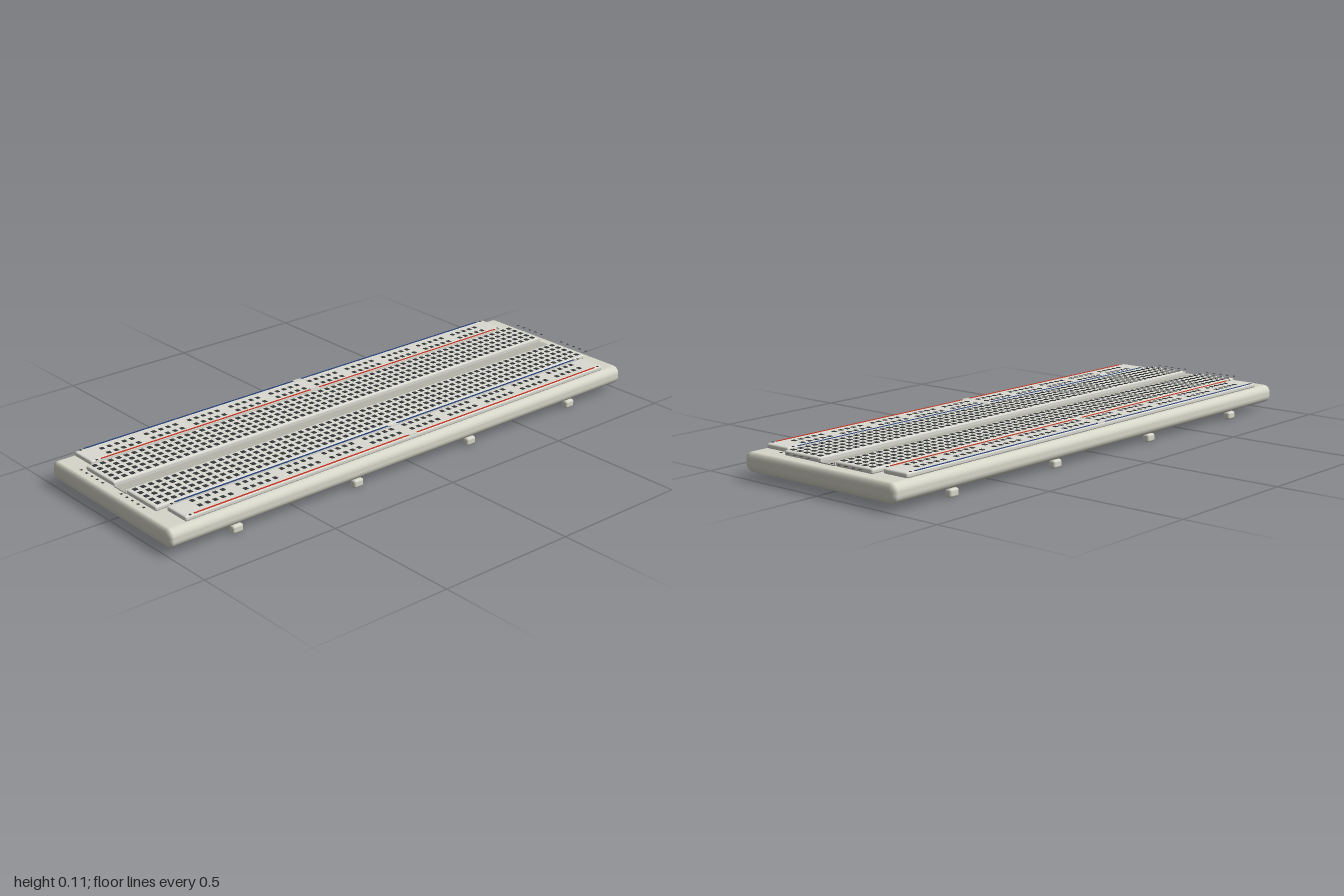
import * as THREE from 'three';
import { mergeGeometries } from 'three/addons/utils/BufferGeometryUtils.js';
import { RoundedBoxGeometry } from 'three/addons/geometries/RoundedBoxGeometry.js';

const mat = (color) => new THREE.MeshStandardMaterial({ color });
const materials = {
  body: mat(0xd6d6c9),
  strip: mat(0xdadad2),
  channel: mat(0xb4b4aa),
  hole: mat(0x34383a),
  red: mat(0xc8321e),
  blue: mat(0x26407a),
  mark: mat(0x3a3a3a),
};

export function createModel() {
  const model = new THREE.Group();

  const add = (name, geometry, material, x = 0, y = 0, z = 0) => {
    const mesh = new THREE.Mesh(geometry, material);
    mesh.name = name;
    mesh.position.set(x, y, z);
    model.add(mesh);
    return mesh;
  };

  // many small equal boxes joined into one mesh
  const addBoxes = (name, size, points, material) => {
    const boxes = points.map(([x, y, z]) => new THREE.BoxGeometry(...size).translate(x, y, z));
    add(name, mergeGeometries(boxes), material);
  };

  // main body, with tighter rounding at the short ends
  const body = new RoundedBoxGeometry(4, 0.065, 0.664, 4, 0.027).scale(0.5, 1, 1);
  add('baseBody', body, materials.body, 0, 0.0575, 0);

  // eight feet along the long edges
  for (const x of [-0.745, -0.255, 0.25, 0.74]) {
    for (const z of [-0.316, 0.317]) {
      add('foot', new RoundedBoxGeometry(0.04, 0.028, 0.027, 3, 0.008), materials.body, x, 0.014, z);
    }
  }

  // sunken centre channel
  add('centreChannel', new THREE.BoxGeometry(1.91, 0.006, 0.07), materials.channel, 0, 0.09, 0);

  const terminalHoles = [];
  const railHoles = [];
  const rowMarks = [];
  for (const side of [-1, 1]) {
    // raised strips and the lip beside the channel
    add('terminalStrip', new RoundedBoxGeometry(1.91, 0.017, 0.158, 3, 0.006), materials.strip, 0, 0.0975, side * 0.1145);
    add('powerRail', new RoundedBoxGeometry(1.85, 0.017, 0.1, 3, 0.006), materials.strip, 0, 0.0975, side * 0.259);
    add('channelLip', new THREE.BoxGeometry(1.91, 0.014, 0.005), materials.strip, 0, 0.096, side * 0.0325);

    // terminal holes: 63 columns by 5 rows, with a mark at both row ends
    for (let row = 0; row < 5; row++) {
      const z = side * (0.052 + row * 0.0305);
      for (let col = 0; col < 63; col++) terminalHoles.push([(col - 31) * 0.0301, 0.105, z]);
      for (const x of [-0.984, 0.984]) rowMarks.push([x, 0.107, z]);
    }

    // rail holes: 10 groups of 5 in two rows
    for (const z of [0.23, 0.27]) {
      for (let i = 0; i < 59; i++) {
        if (i % 6 !== 5) railHoles.push([(i - 29) * 0.0291, 0.1055, side * z]);
      }
    }

    // polarity marks and the small notch at the middle of each rail
    for (const z of [0.212, 0.304]) {
      add('railNotch', new THREE.BoxGeometry(0.035, 0.004, 0.008), materials.strip, 0, 0.1065, side * z);
    }
    for (const x of [-0.905, 0.905]) {
      rowMarks.push([x, 0.107, side * 0.207], [x, 0.107, side * 0.303]);
    }
  }
  addBoxes('terminalHoles', [0.015, 0.005, 0.016], terminalHoles, materials.hole);
  addBoxes('railHoles', [0.014, 0.003, 0.016], railHoles, materials.hole);
  addBoxes('rowMarks', [0.007, 0.001, 0.008], rowMarks, materials.mark);

  // coloured stripes, each split at the middle
  for (const [name, z, material] of [
    ['redStripe', 0.303, materials.red],
    ['blueStripe', 0.203, materials.blue],
    ['redStripe', -0.206, materials.red],
    ['blueStripe', -0.306, materials.blue],
  ]) {
    for (const side of [-1, 1]) {
      add(name, new THREE.BoxGeometry(0.87, 0.0015, 0.006), material, side * 0.455, 0.1068, z);
    }
  }

  return model;
}
